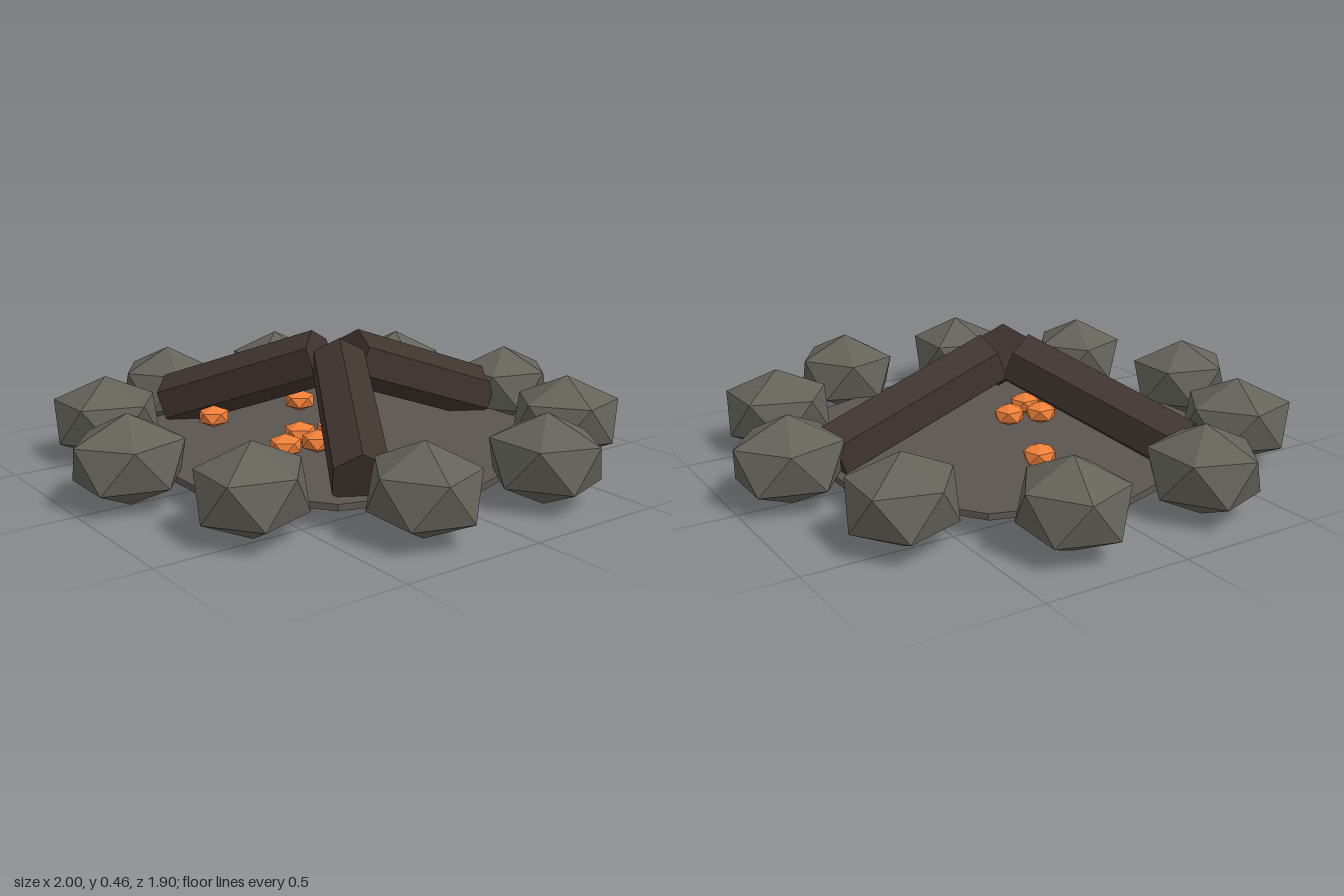
import * as THREE from 'three';

const mat = (color) => new THREE.MeshStandardMaterial({ color, flatShading: true });

// Icosahedron standing on one corner, with an upper corner towards +z
function poleIcosahedron() {
  const g = new THREE.IcosahedronGeometry(1, 0);
  g.rotateX(-Math.atan((1 + Math.sqrt(5)) / 2));
  return g;
}

export function createModel() {
  const model = new THREE.Group();
  const stoneMat = mat(0x64635a), ashMat = mat(0x5a5550);
  const logMat = mat(0x40342f), emberMat = mat(0xf08038);
  const ico = poleIcosahedron();

  const add = (name, geometry, material, parent = model) => {
    const mesh = new THREE.Mesh(geometry, material);
    mesh.name = name;
    parent.add(mesh);
    return mesh;
  };

  // Ten-sided ash bed
  add('ashBed', new THREE.CylinderGeometry(0.72, 0.72, 0.022, 10), ashMat).position.y = 0.077;

  // Ring of ten stones, each facing outwards
  const ring = new THREE.Group();
  ring.name = 'stoneRing';
  model.add(ring);
  for (let i = 0; i < 10; i++) {
    const a = (i * Math.PI) / 5;
    const stone = add('stone', ico, stoneMat, ring);
    stone.position.set(0.813 * Math.cos(a), 0.152, 0.813 * Math.sin(a));
    stone.rotation.y = Math.PI / 2 - a;
    stone.scale.set(0.19, 0.152, 0.207);
  }

  // Three hexagonal logs leaning together at the middle, ridge upwards
  const tilt = THREE.MathUtils.degToRad(20);
  const logGeo = new THREE.CylinderGeometry(0.1, 0.1, 0.65, 6);
  logGeo.rotateX(Math.PI / 2);          // axis along z, ridge on top
  logGeo.rotateX(tilt);                 // outer end drops
  logGeo.translate(0, 0.255, 0.366);
  for (let i = 0; i < 3; i++) {
    add('log', logGeo, logMat).rotation.y = Math.PI / 2 + (i * Math.PI * 2) / 3;
  }

  // Glowing embers scattered on the ash
  const spots = [[0.08, -0.345], [-0.3, -0.345], [-0.165, 0.01], [-0.29, 0.105], [-0.175, 0.13], [-0.055, 0.05]];
  for (const [x, z] of spots) {
    const ember = add('ember', ico, emberMat);
    ember.position.set(x, 0.128, z);
    ember.scale.set(0.061, 0.041, 0.061);
  }
  return model;
}
